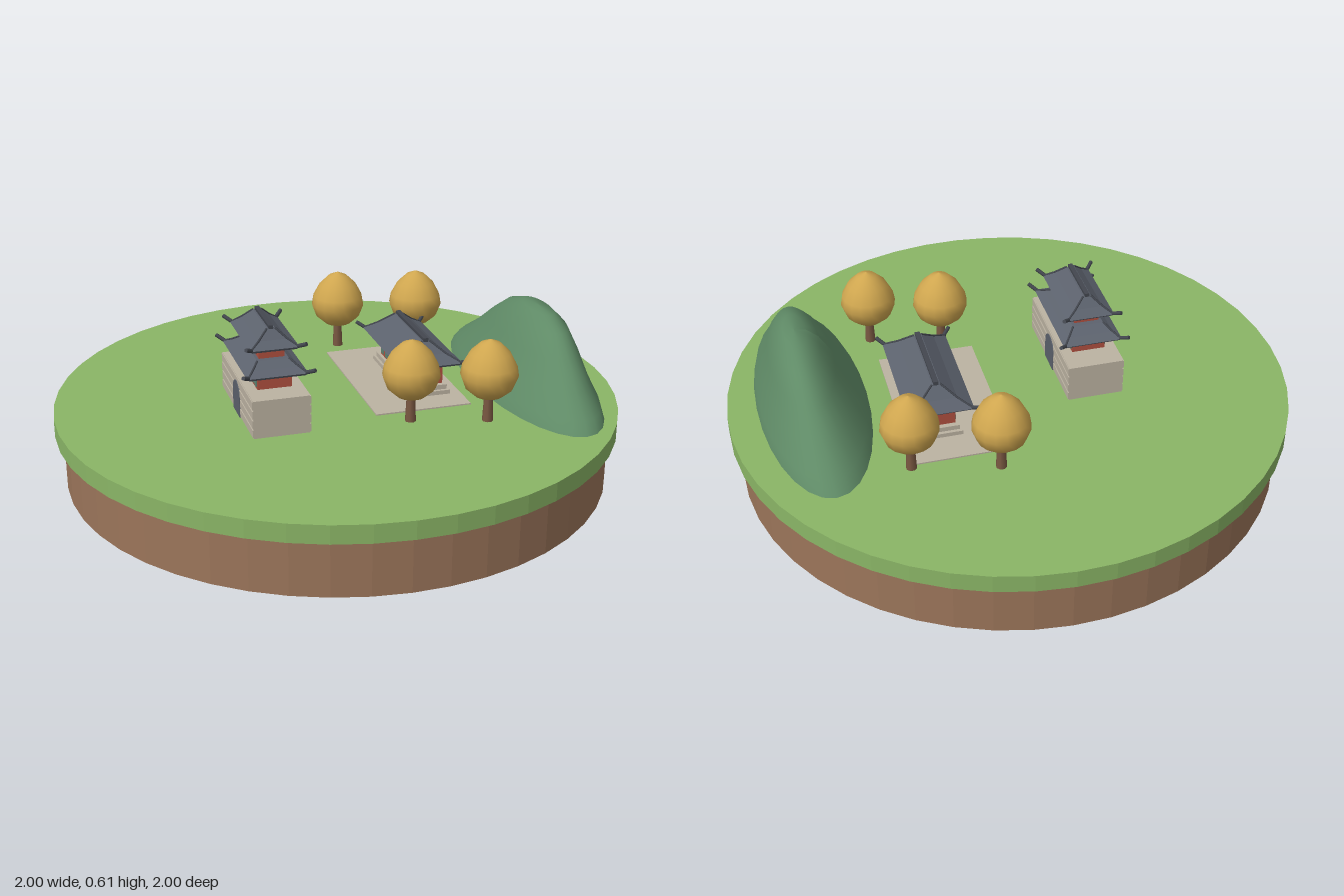
import * as THREE from 'three';

const mat = (name, color, extra = {}) => Object.assign(new THREE.MeshStandardMaterial({ color, ...extra }), { name });
const M = {
  grass: mat('grass green', 0x8ab566),
  soil: mat('soil brown', 0x9b755a),
  stone: mat('pale stone', 0xbcb3a2),
  slate: mat('slate grey', 0x5c626d),
  dark: mat('dark slate', 0x43474f),
  red: mat('painted red', 0xb0503f),
  teal: mat('muted green', 0x5f8272),
  gold: mat('golden leaves', 0xcfa64f),
  bark: mat('bark brown', 0x7a5842),
  hill: mat('hill green', 0x5f8a66),
};
const G = 0.265; // ground level

function add(parent, name, geo, material, x = 0, y = 0, z = 0) {
  const m = new THREE.Mesh(geo, material);
  m.name = name;
  m.position.set(x, y, z);
  parent.add(m);
  return m;
}

// box given by half width, half depth, bottom and top
const block = (p, name, material, hx, hz, y0, y1, x = 0, z = 0) =>
  add(p, name, new THREE.BoxGeometry(hx * 2, y1 - y0, hz * 2), material, x, (y0 + y1) / 2, z);

function rod(p, name, material, a, b, r) {
  const d = new THREE.Vector3().subVectors(b, a);
  const m = add(p, name, new THREE.CylinderGeometry(r, r, d.length(), 6), material);
  m.position.copy(a).addScaledVector(d, 0.5);
  m.quaternion.setFromUnitVectors(new THREE.Vector3(0, 1, 0), d.normalize());
}

// stacked rectangles [half width, half depth, y], joined into a closed flat-sided shell
function rectLoft(rings) {
  const pos = [], idx = [];
  for (const [hx, hz, y] of rings) pos.push(-hx, y, hz, hx, y, hz, hx, y, -hz, -hx, y, -hz);
  for (let r = 0; r < rings.length - 1; r++)
    for (let i = 0; i < 4; i++) {
      const a = r * 4 + i, b = r * 4 + (i + 1) % 4;
      idx.push(a, b, b + 4, a, b + 4, a + 4);
    }
  const t = (rings.length - 1) * 4;
  idx.push(0, 2, 1, 0, 3, 2, t, t + 1, t + 2, t, t + 2, t + 3);
  const g = new THREE.BufferGeometry();
  g.setAttribute('position', new THREE.Float32BufferAttribute(pos, 3));
  g.setIndex(idx);
  const flat = g.toNonIndexed();
  flat.computeVertexNormals();
  return flat;
}

// hipped roof: eave and top half sizes, sagging slopes, hip ribs and upturned corners
function roof(p, name, [ex, ez, ey], [tx, tz, ty]) {
  const g = new THREE.Group();
  g.name = name;
  p.add(g);
  const mix = (a, b, t) => a + (b - a) * t;
  const mid = [mix(ex, tx, 0.5), mix(ez, tz, 0.5), mix(ey + 0.01, ty, 0.42)];
  add(g, 'roofTiles', rectLoft([[ex - 0.01, ez - 0.01, ey], [ex, ez, ey + 0.01], mid, [tx, tz, ty]]), M.slate);
  for (const sx of [-1, 1]) for (const sz of [-1, 1]) {
    const at = (x, y, z) => new THREE.Vector3(sx * x, y, sz * z);
    const eave = at(ex - 0.006, ey + 0.012, ez - 0.006), m = at(mid[0], mid[1], mid[1 - 0] && mid[1]);
    m.set(sx * mid[0], mid[2], sz * mid[1]);
    rod(g, 'hipRib', M.dark, eave, m, 0.004);
    rod(g, 'hipRib', M.dark, m, at(tx, ty, tz), 0.004);
    rod(g, 'upturnedCorner', M.dark, eave, at(ex + 0.02, ey + 0.026, ez + 0.018), 0.007);
  }
}

// red storey with green panels between posts on both long sides
function storey(p, hx, hz, y0, y1, bays) {
  block(p, 'redWalls', M.red, hx, hz, y0, y1);
  const step = 2 * hx / bays;
  for (const s of [-1, 1]) for (let i = 0; i < bays; i++)
    block(p, 'greenPanel', M.teal, step * 0.32, 0.002, y0 + 0.008, y1 - 0.004, -hx + step * (i + 0.5), s * (hz + 0.001));
}

function gateHouse() {
  const g = new THREE.Group();
  g.name = 'gatehouse';
  block(g, 'stoneBase', M.stone, 0.235, 0.098, G, 0.4);
  // raised stone courses
  for (let i = 0; i < 4; i++) {
    const y = G + 0.004 + i * 0.034;
    for (const s of [-1, 1]) block(g, 'stoneCourse', M.stone, 0.235, 0.002, y, y + 0.027, 0, s * 0.0995);
  }
  // arched doorway on both faces
  const arch = new THREE.Shape();
  arch.moveTo(-0.048, 0);
  arch.lineTo(0.048, 0);
  arch.lineTo(0.048, 0.072);
  arch.absarc(0, 0.072, 0.048, 0, Math.PI, false);
  arch.closePath();
  const geo = new THREE.ExtrudeGeometry(arch, { depth: 0.004, bevelEnabled: false, curveSegments: 10 });
  add(g, 'archedDoor', geo, M.slate, 0, G, 0.1);
  add(g, 'archedDoor', geo, M.slate, 0, G, -0.1).rotation.y = Math.PI;
  storey(g, 0.14, 0.06, 0.4, 0.462, 7);
  roof(g, 'lowerRoof', [0.192, 0.106, 0.452], [0.125, 0.055, 0.498]);
  block(g, 'upperWalls', M.red, 0.105, 0.045, 0.49, 0.545);
  roof(g, 'upperRoof', [0.155, 0.086, 0.535], [0.1, 0.014, 0.602]);
  block(g, 'ridge', M.dark, 0.102, 0.008, 0.598, 0.612);
  return g;
}

function mainHall() {
  const g = new THREE.Group();
  g.name = 'mainHall';
  block(g, 'platform', M.stone, 0.2, 0.08, G, 0.285);
  block(g, 'platformStep', M.stone, 0.188, 0.071, 0.285, 0.302);
  storey(g, 0.17, 0.06, 0.302, 0.392, 7);
  roof(g, 'hallRoof', [0.226, 0.115, 0.382], [0.15, 0.014, 0.462]);
  block(g, 'ridge', M.dark, 0.153, 0.009, 0.457, 0.473);
  return g;
}

const lathe = (pts, n) => new THREE.LatheGeometry(pts.map(([r, y]) => new THREE.Vector2(r, y)), n);

function tree(x, z) {
  const g = new THREE.Group();
  g.name = 'tree';
  g.position.set(x, G, z);
  add(g, 'trunk', new THREE.CylinderGeometry(0.013, 0.019, 0.13, 8), M.bark, 0, 0.065, 0);
  add(g, 'crown', lathe([[0, 0.09], [0.05, 0.096], [0.083, 0.125], [0.1, 0.17], [0.094, 0.205],
    [0.07, 0.25], [0.035, 0.284], [0, 0.299]], 16), M.gold);
  return g;
}

function hill() {
  const geo = lathe([[1, 0], [0.93, 0.04], [0.75, 0.105], [0.57, 0.185], [0.39, 0.253], [0.2, 0.287], [0, 0.292]], 28);
  // stretch into a long mound whose crest leans back
  const p = geo.attributes.position;
  for (let i = 0; i < p.count; i++) {
    const lean = p.getY(i) / 0.292;
    p.setX(i, p.getX(i) * 0.54 + 0.025 * lean);
    p.setZ(i, p.getZ(i) * 0.195 - 0.035 * lean);
  }
  geo.computeVertexNormals();
  return geo;
}

export function createModel() {
  const root = new THREE.Group();
  root.name = 'islandDiorama';
  const flat = (r, h) => {
    const g = new THREE.CylinderGeometry(r, r, h, 48).toNonIndexed();
    g.computeVertexNormals();
    return g;
  };
  add(root, 'soilDisc', flat(0.97, 0.2), M.soil, 0, 0.1, 0);
  add(root, 'grassDisc', flat(1, 0.065), M.grass, 0, 0.2325, 0);

  // everything on the island shares one diagonal heading
  const turn = -20 * Math.PI / 180;
  const place = (o, x, y, z) => {
    o.position.set(x, y, z);
    o.rotation.y = turn;
    root.add(o);
  };
  place(gateHouse(), -0.03, 0, 0.284);
  place(mainHall(), 0.045, 0, -0.31);
  place(block(root, 'courtyard', M.stone, 0.308, 0.175, G - 0.01, G + 0.005), 0.02, G - 0.0025, -0.26);
  place(add(root, 'hill', hill(), M.hill), 0.3, G, -0.635);

  for (const [x, z] of [[-0.215, -0.54], [-0.38, -0.29], [0.505, -0.275], [0.35, -0.06]]) root.add(tree(x, z));
  return root;
}
